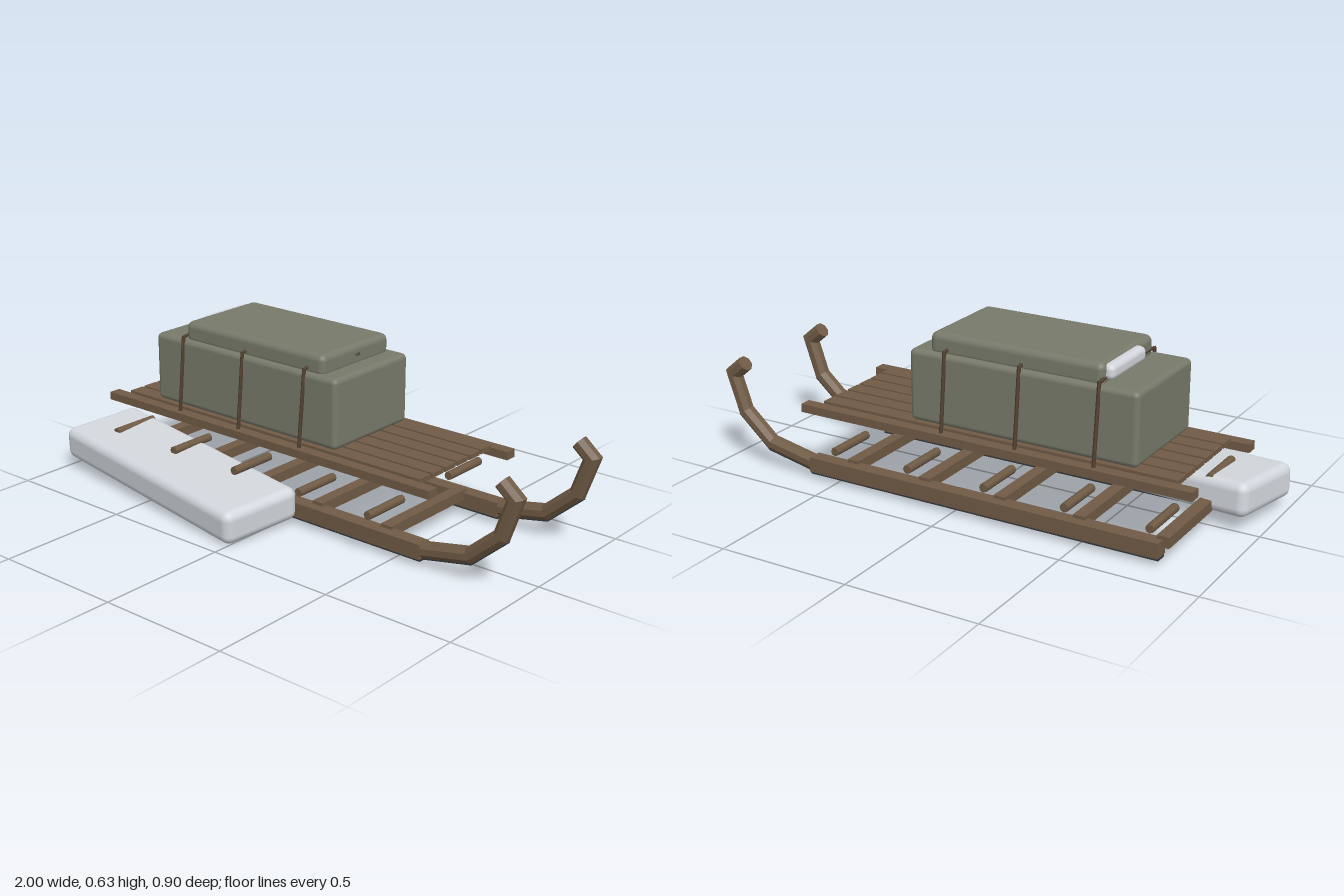
import * as THREE from 'three';
import { RoundedBoxGeometry } from 'three/addons/geometries/RoundedBoxGeometry.js';

const mat = (name, color) => {
  const m = new THREE.MeshStandardMaterial({ color });
  m.name = name;
  return m;
};

// Faceted, mitred sweep of a round (or flattened) section along a path in the xy plane
function sweep(path, r, sides, width = r) {
  const pts = path.map(([x, y]) => new THREE.Vector2(x, y));
  const n = pts.length;
  const g = new THREE.CylinderGeometry(1, 1, 1, sides, n - 1, false, Math.PI / sides);
  const pos = g.attributes.position;
  for (let i = 0; i < pos.count; i++) {
    const k = Math.round((pos.getY(i) + 0.5) * (n - 1));
    const a = pts[Math.min(k + 1, n - 1)].clone().sub(pts[Math.min(k, n - 2)]).normalize();
    const b = pts[Math.max(k, 1)].clone().sub(pts[Math.max(k - 1, 0)]).normalize();
    const t = a.clone().add(b).normalize();
    const off = (pos.getX(i) * r) / t.dot(a);
    pos.setXYZ(i, pts[k].x + t.y * off, pts[k].y - t.x * off, pos.getZ(i) * width);
  }
  const flat = g.toNonIndexed();
  flat.computeVertexNormals();
  return flat;
}

export function createModel() {
  const model = new THREE.Group();
  model.name = 'loadedSled';
  const wood = mat('wood', 0x705b45);
  const canvas = mat('canvas', 0x777a6a);
  const cloth = mat('paleCloth', 0xd3d7dd);
  const iron = mat('iron', 0x34393c);
  const rope = mat('rope', 0x50402f);

  const add = (name, geo, material, x = 0, y = 0, z = 0) => {
    const m = new THREE.Mesh(geo, material);
    m.name = name;
    m.position.set(x, y, z);
    model.add(m);
    return m;
  };
  // Box given by its limits on each axis
  const box = (name, material, [x0, x1], [y0, y1], [z0, z1]) =>
    add(name, new THREE.BoxGeometry(x1 - x0, y1 - y0, z1 - z0), material,
      (x0 + x1) / 2, (y0 + y1) / 2, (z0 + z1) / 2);
  const rounded = (name, material, [w, h, d], r, x, y, z) =>
    add(name, new RoundedBoxGeometry(w, h, d, 3, r), material, x, y, z);

  const midZ = -0.122;
  const stations = [-0.8, -0.49, -0.18, 0.13, 0.44];
  const curl = [[0.6, 0.06], [0.8, 0.1], [0.92, 0.205], [0.968, 0.345], [0.912, 0.392]];
  const shoeCurl = [[0.6, 0.029], [0.81, 0.071], [0.944, 0.188]];

  // Runners with curled fronts, shoes, side rails and pegs
  for (const side of [1, -1]) {
    const z = midZ + side * 0.234;
    box('runner', wood, [-0.8, 0.61], [0.032, 0.088], [z - 0.028, z + 0.028]);
    box('runnerShoe', iron, [-0.8, 0.61], [0.023, 0.032], [z - 0.022, z + 0.022]);
    add('runnerCurl', sweep(curl, 0.03, 8), wood, 0, 0, z);
    add('curlShoe', sweep(shoeCurl, 0.005, 4, 0.013), iron, 0, 0, z);
    box('sideRail', wood, [-0.91, 0.64], [0.26, 0.291], [z - 0.023, z + 0.023]);
    for (const x of stations) {
      const peg = add('peg', new THREE.CylinderGeometry(0.016, 0.016, 0.193, 8), wood, x, 0.17, z);
      peg.rotation.x = Math.PI / 2;
    }
  }

  // Cross bars between the runners
  for (const x of stations)
    box('crossBar', wood, [x - 0.023, x + 0.023], [0.06, 0.1], [midZ - 0.225, midZ + 0.225]);

  // Deck slats
  for (let i = 0; i < 6; i++) {
    const z = midZ + (i - 2.5) * 0.0725;
    box('deckSlat', wood, [-0.84, 0.57], [0.283, 0.301], [z - 0.031, z + 0.031]);
  }

  // Load: large bundle, smaller bundle on top, pale roll
  rounded('largeBundle', canvas, [0.885, 0.264, 0.417], 0.02, -0.247, 0.435, midZ);
  rounded('topBundle', canvas, [0.672, 0.085, 0.377], 0.025, -0.214, 0.592, midZ);
  rounded('paleRoll', cloth, [0.05, 0.054, 0.25], 0.02, -0.551, 0.599, -0.163);
  const knot = add('knot', new THREE.IcosahedronGeometry(0.012, 0), rope, 0.122, 0.598, -0.126);
  knot.scale.set(0.7, 0.5, 1.2);

  // Ropes over the load
  const ropePath = [[0.112, 0.285], [0.083, 0.577], [0.06, 0.581], [-0.304, 0.581], [-0.327, 0.577], [-0.356, 0.285]];
  for (const x of [-0.545, -0.245, 0.05])
    add('loadRope', sweep(ropePath, 0.007, 6).rotateY(-Math.PI / 2), rope, x);

  // Long pale bag lying askew beside the sled
  const bag = rounded('longBag', cloth, [1.025, 0.128, 0.33], 0.035, -0.468, 0.095, 0.213);
  bag.rotation.set(0.06, -0.15, -0.04, 'YZX');

  return model;
}
